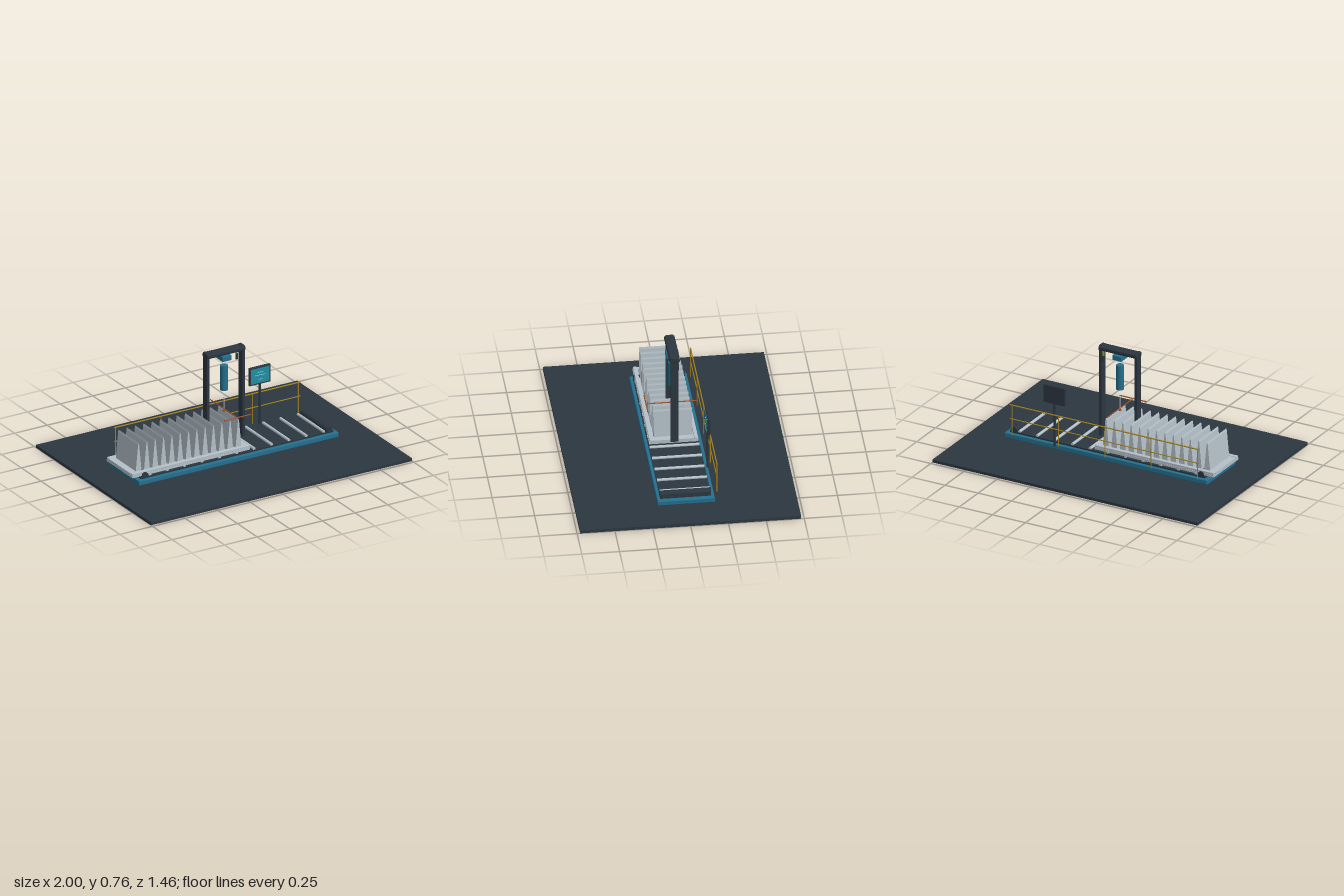
import * as THREE from 'three';
import { RoundedBoxGeometry } from 'three/addons/geometries/RoundedBoxGeometry.js';

const mat = (color) => new THREE.MeshStandardMaterial({ color });

export function createModel() {
  const model = new THREE.Group();
  const dark = mat(0x2c3640), teal = mat(0x24708e), steel = mat(0xb4c0c8);
  const yellow = mat(0xa8841f), copper = mat(0xa8522c), green = mat(0x4f9a4a);
  const cyan = mat(0x1f8fa3), pale = mat(0x8fd0dc);

  const add = (name, geometry, material, x, y, z, parent = model) => {
    const mesh = new THREE.Mesh(geometry, material);
    mesh.name = name;
    mesh.position.set(x, y, z);
    parent.add(mesh);
    return mesh;
  };
  const group = (name) => {
    const g = new THREE.Group();
    g.name = name;
    model.add(g);
    return g;
  };
  // Box given by its limits on each axis
  const box = (name, m, [x0, x1], [y0, y1], [z0, z1], parent, round = 0) => {
    const s = [x1 - x0, y1 - y0, z1 - z0];
    const geo = round ? new RoundedBoxGeometry(...s, 2, round) : new THREE.BoxGeometry(...s);
    return add(name, geo, m, (x0 + x1) / 2, (y0 + y1) / 2, (z0 + z1) / 2, parent);
  };
  // Cylinder along a chosen axis
  const rod = (name, m, r, length, axis, x, y, z, parent, sides = 16) => {
    const geo = new THREE.CylinderGeometry(r, r, length, sides);
    if (axis === 'x') geo.rotateZ(Math.PI / 2);
    if (axis === 'z') geo.rotateX(Math.PI / 2);
    return add(name, geo, m, x, y, z, parent);
  };

  // Floor and conveyor base
  box('floor', dark, [-1, 1], [0, 0.02], [-0.73, 0.73]);
  box('base', teal, [-0.765, 0.765], [0.02, 0.055], [-0.19, 0.19], model, 0.006);
  box('bed', dark, [-0.735, 0.735], [0.05, 0.066], [-0.168, 0.168]);

  // Conveyor rollers, with a heavier drum at each end
  const conveyor = group('conveyor');
  for (let i = -5; i <= 5; i++) {
    rod('roller', steel, 0.01, 0.33, 'z', i * 0.133, 0.072, 0, conveyor);
  }
  for (const s of [-1, 1]) rod('endDrum', dark, 0.024, 0.338, 'z', s * 0.705, 0.073, 0, conveyor, 24);

  // Carriage: deck, side rails and end lips
  const carriage = group('carriage');
  box('deck', steel, [-0.8, 0.1], [0.074, 0.09], [-0.163, 0.163], carriage);
  for (const s of [-1, 1]) {
    box('sideRail', steel, [-0.8, 0.1], [0.088, 0.105], [s * 0.148 - 0.013, s * 0.148 + 0.013], carriage, 0.004);
  }
  for (const x of [-0.775, 0.075]) {
    box('endLip', steel, [x - 0.025, x + 0.025], [0.088, 0.1], [-0.135, 0.135], carriage);
  }

  // Row of tapered panels standing on the carriage
  const wedge = new THREE.Shape();
  wedge.moveTo(-0.023, 0);
  wedge.lineTo(0.023, 0);
  wedge.lineTo(0.004, 0.195);
  wedge.lineTo(0, 0.208);
  wedge.lineTo(-0.004, 0.195);
  wedge.closePath();
  const wedgeGeo = new THREE.ExtrudeGeometry(wedge, { depth: 0.254, bevelEnabled: false });
  wedgeGeo.translate(0, 0, -0.127);
  for (let i = 0; i < 13; i++) add('panel', wedgeGeo, steel, -0.73 + i * 0.0637, 0.09, 0, carriage);

  // Gantry
  const gantry = group('gantry');
  for (const s of [-1, 1]) {
    box('post', dark, [s * 0.135 - 0.01, s * 0.135 + 0.01], [0.11, 0.735], [-0.026, 0.026], gantry);
    box('beamCap', dark, [s * 0.133 - 0.013, s * 0.133 + 0.013], [0.745, 0.76], [-0.026, 0.026], gantry, 0.004);
  }
  box('beam', dark, [-0.147, 0.147], [0.725, 0.755], [-0.035, 0.035], gantry, 0.009);
  box('headMount', teal, [-0.035, 0.035], [0.684, 0.72], [-0.042, 0.042], gantry, 0.004);
  rod('headStem', dark, 0.008, 0.01, 'y', 0, 0.722, 0, gantry);
  rod('headBody', teal, 0.026, 0.175, 'y', 0, 0.553, 0, gantry, 24);

  // Probe: spindle, arm across the carriage and front crossbar
  const probe = group('probe');
  rod('spindle', steel, 0.003, 0.1, 'y', 0, 0.362, 0, probe, 10);
  rod('arm', copper, 0.0035, 0.345, 'z', 0, 0.327, 0, probe, 10);
  rod('crossbar', copper, 0.004, 0.2, 'x', 0, 0.329, 0.172, probe, 10);
  add('tip', new THREE.SphereGeometry(0.009, 16, 12), copper, 0, 0.316, 0, probe);

  // Hanging signal lamp
  const lamp = group('signalLamp');
  rod('lampBody', dark, 0.008, 0.042, 'y', 0.112, 0.67, -0.025, lamp);
  rod('greenLight', green, 0.007, 0.016, 'y', 0.112, 0.699, -0.025, lamp);
  rod('yellowLight', yellow, 0.007, 0.018, 'y', 0.112, 0.716, -0.025, lamp);

  // Control screen on a pole
  const panel = group('controlScreen');
  rod('pole', dark, 0.008, 0.33, 'y', 0.385, 0.205, -0.187, panel);
  box('screenCase', dark, [0.303, 0.467], [0.347, 0.475], [-0.197, -0.179], panel, 0.005);
  box('display', cyan, [0.314, 0.456], [0.358, 0.464], [-0.182, -0.177], panel);
  [[0.435, 0.05], [0.415, 0.08], [0.385, 0.03]].forEach(([y, w]) =>
    box('statusBar', pale, [0.385 - w / 2, 0.385 + w / 2], [y - 0.002, y + 0.002], [-0.178, -0.176], panel));

  // Guard rail along the back
  const guard = group('guardRail');
  for (let i = -2; i <= 2; i++) rod('guardPost', yellow, 0.0035, 0.218, 'y', -0.005 + i * 0.35, 0.168, -0.21, guard, 10);
  for (const [y, r] of [[0.275, 0.0045], [0.175, 0.0035]]) {
    rod('guardBar', yellow, r, 1.425, 'x', -0.0025, y, -0.21, guard, 10);
  }

  return model;
}
